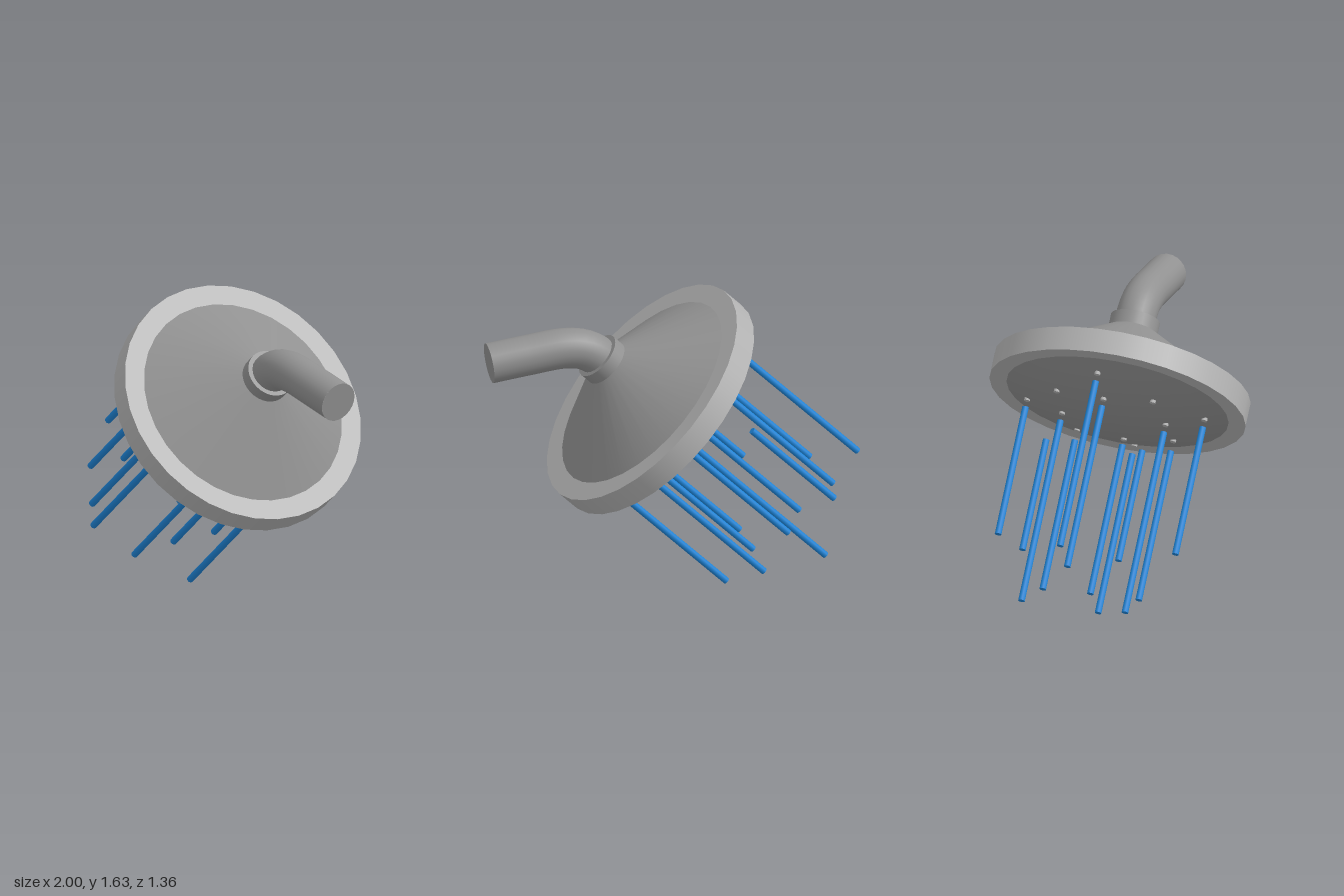
import * as THREE from 'three';

export function createModel() {
  const model = new THREE.Group();
  model.name = 'showerHead';
  const bodyGrey = new THREE.MeshStandardMaterial({ color: 0x919191, name: 'bodyGrey' });
  const rimGrey = new THREE.MeshStandardMaterial({ color: 0xb2b2b2, name: 'rimGrey' });
  const waterBlue = new THREE.MeshStandardMaterial({ color: 0x1f85d8, name: 'waterBlue' });

  const add = (parent, name, geometry, material, x = 0, y = 0, z = 0) => {
    const mesh = new THREE.Mesh(geometry, material);
    mesh.name = name;
    mesh.position.set(x, y, z);
    parent.add(mesh);
    return mesh;
  };

  // Head: local y runs along the axis, tilted 45 degrees towards the pipe
  const head = new THREE.Group();
  head.name = 'head';
  head.position.set(0.121, 1.106, 0);
  head.rotation.z = -Math.PI / 4;
  model.add(head);

  add(head, 'rim', new THREE.CylinderGeometry(0.68, 0.68, 0.13, 32), rimGrey);
  add(head, 'cone', new THREE.CylinderGeometry(0.13, 0.57, 0.27, 32, 1, true), bodyGrey, 0, 0.2, 0);
  add(head, 'collar', new THREE.CylinderGeometry(0.13, 0.13, 0.085, 32), bodyGrey, 0, 0.362, 0);

  // Shallow domed spray face
  const domeY = (r) => -0.185 + 0.345 * r * r;
  const profile = [];
  for (let i = 0; i <= 10; i++) profile.push(new THREE.Vector2(0.06 * i, domeY(0.06 * i)));
  add(head, 'sprayFace', new THREE.LatheGeometry(profile, 32), bodyGrey);

  // Water jets and their nozzles: x, z, start and end along the axis
  const jets = [
    [-0.484, 0, -0.153, -1.087], [0.484, 0, -0.16, -1.06],
    [0, 0.48, -0.153, -0.874], [0, -0.48, -0.153, -0.874],
    [-0.27, 0, -0.203, -1.114], [0.265, 0, -0.2, -1.044],
    [0, 0.28, -0.205, -1.228], [0, -0.28, -0.205, -1.228],
    [-0.257, 0.26, -0.42, -1.044], [-0.257, -0.26, -0.42, -1.044],
    [0.275, 0.26, -0.2, -1.044], [0.275, -0.26, -0.2, -1.044],
  ];
  for (const [x, z, start, end] of jets) {
    add(head, 'waterJet', new THREE.CylinderGeometry(0.018, 0.018, start - end, 10),
      waterBlue, x, (start + end) / 2, z);
    add(head, 'nozzle', new THREE.CylinderGeometry(0.016, 0.016, 0.03, 10),
      rimGrey, x, domeY(Math.hypot(x, z)) + 0.003, z);
  }

  // Bent supply pipe with a closed end
  const path = new THREE.CatmullRomCurve3(
    [[0.37, 1.355], [0.42, 1.403], [0.49, 1.44], [0.59, 1.455], [0.79, 1.437], [0.985, 1.415]]
      .map(([x, y]) => new THREE.Vector3(x, y, 0)));
  add(model, 'pipe', new THREE.TubeGeometry(path, 20, 0.106, 24), bodyGrey);
  const cap = add(model, 'pipeEnd', new THREE.CircleGeometry(0.106, 24), bodyGrey, 0.985, 1.415, 0);
  cap.quaternion.setFromUnitVectors(new THREE.Vector3(0, 0, 1), path.getTangent(1));

  return model;
}
